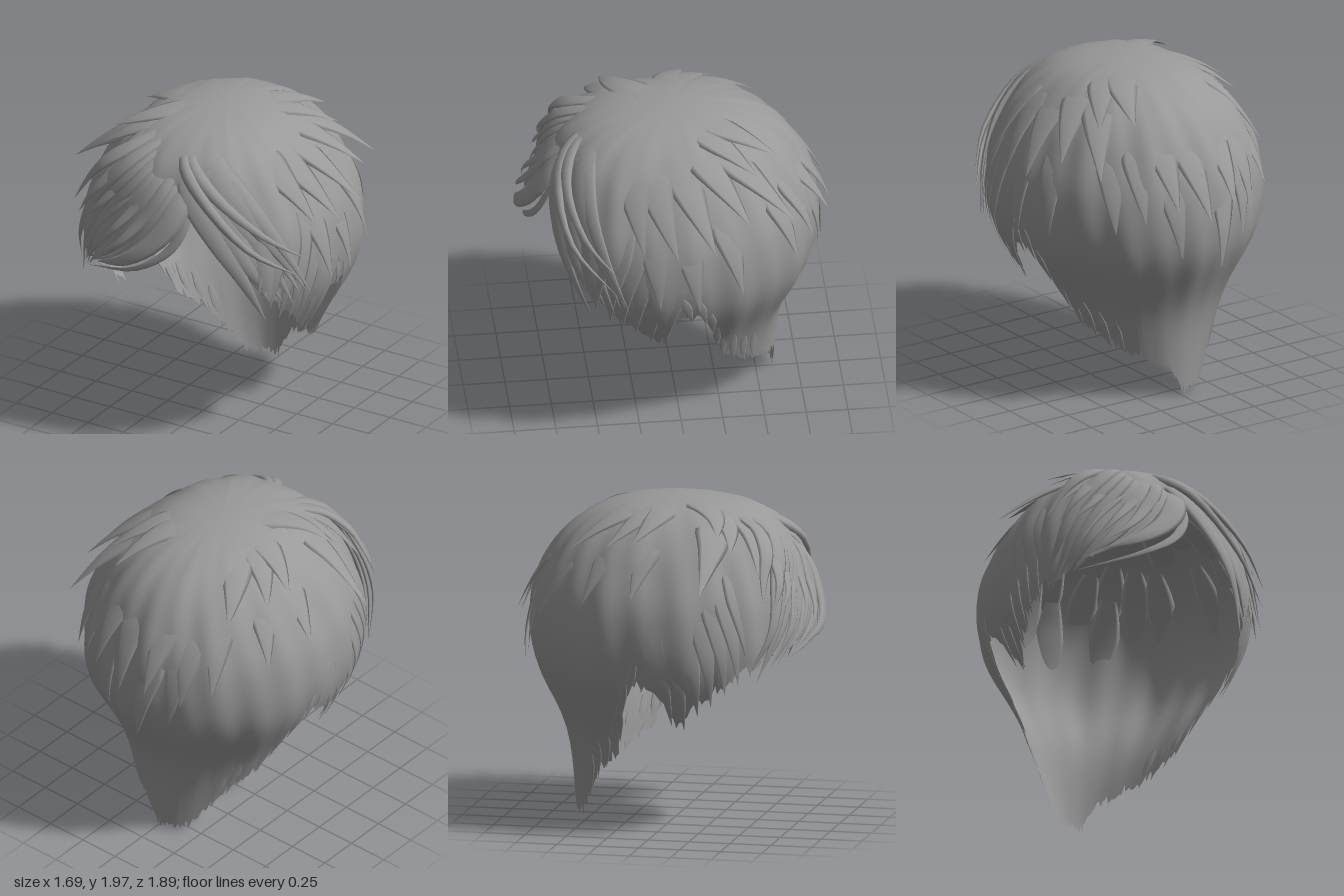
import * as THREE from 'three';
import { mergeGeometries } from 'three/addons/utils/BufferGeometryUtils.js';

const V = (x, y, z) => new THREE.Vector3(x, y, z);
const RAD = Math.PI / 180;
const lerp = THREE.MathUtils.lerp;

let seed = 7;
const rnd = () => (seed = (seed * 16807) % 2147483647) / 2147483647;

// Cap radii (side, front, back) at even steps of u, where y = 1.99 - u * u
const profile = new THREE.CatmullRomCurve3([
  V(0, 0, 0), V(.3, .38, .34), V(.505, .62, .59), V(.67, .74, .76),
  V(.785, .81, .86), V(.77, .79, .845), V(.55, .58, .655), V(.34, .36, .6),
], false, 'catmullrom');

// Height of the lower edge by angle: 0 is the front, 90 the left, 180 the back
const hem = [
  [-180, .05], [-150, .07], [-143, .13], [-135, .28], [-124, .4], [-112, .5], [-103, .82], [-97, .97],
  [-88, .92], [-80, .7], [-70, .84], [-55, 1.0], [-37, 1.12], [-20, 1.25], [0, 1.42], [12, 1.54], [20, 1.56],
  [30, 1.38], [45, 1.17], [58, .96], [70, .84], [80, .7], [88, .92], [97, .97], [103, .82], [112, .5],
  [130, .36], [150, .3], [165, .22], [174, .16], [180, .05],
];
function hemAt(deg) {
  const i = Math.max(1, hem.findIndex((h) => h[0] >= deg));
  const [a, b] = [hem[i - 1], hem[i]];
  return lerp(a[1], b[1], (deg - a[0]) / (b[0] - a[0]));
}

const toU = (y) => Math.sqrt(Math.max(0, 1.99 - y));

// Point on the head surface, pushed outward by off
function surf(deg, u, off = 0) {
  const r = profile.getPoint(Math.min(1, u / 1.4));
  const s = Math.sin(deg * RAD), c = Math.cos(deg * RAD);
  const e = c > 0 ? .87 : 1;
  const x = Math.sign(s) * Math.abs(s) ** e * r.x;
  const z = Math.sign(c) * Math.abs(c) ** e * (c > 0 ? r.y : r.z);
  const p = V(x, 1.99 - u * u, z);
  return p.addScaledVector(p.clone().sub(V(0, 1.1, 0)).normalize(), off);
}

function build(positions, index) {
  const g = new THREE.BufferGeometry();
  g.setAttribute('position', new THREE.Float32BufferAttribute(positions, 3));
  g.setIndex(index);
  g.computeVertexNormals();
  return g;
}

// Rippled shell with a ragged lower edge
function capGeometry(cols = 270, rows = 36) {
  const pos = [], idx = [];
  const teeth = Array.from({ length: cols }, () => .07 * (rnd() ** 2 - .4));
  for (let r = 0; r <= rows; r++) {
    for (let c = 0; c < cols; c++) {
      const deg = -180 + c * 360 / cols, k = r / rows;
      const u = toU(Math.max(.01, hemAt(deg) + teeth[c] * k ** 8)) * k;
      const a = deg * RAD, fade = Math.min(1, u * u * 2.5) * (u > 1 ? Math.max(.2, 1 - (u - 1) * 4) : 1);
      const ripple = fade * (.009 * Math.sin(11 * a + 5 * u) + .005 * Math.sin(23 * a - 6 * u));
      pos.push(...surf(deg, u, ripple).toArray());
      if (r < rows) {
        const d = (c + 1) % cols, p = r * cols, q = p + cols;
        idx.push(p + c, q + c, p + d, p + d, q + c, q + d);
      }
    }
  }
  return build(pos, idx);
}

// Flattened, pointed lock along a path
function lock(points, width, flat = .3, n = 16, m = 8) {
  const curve = new THREE.CatmullRomCurve3(points);
  const pos = [], idx = [];
  for (let i = 0; i <= n; i++) {
    const t = i / n, p = curve.getPoint(t), tan = curve.getTangent(t);
    const out = p.clone().sub(V(0, 1.1, 0));
    out.addScaledVector(tan, -out.dot(tan)).normalize();
    const side = tan.clone().cross(out);
    const w = width * (.45 + .75 * Math.min(1, t * 2.5)) * (1 - t ** 1.6) + .0005;
    for (let j = 0; j < m; j++) {
      const a = j / m * Math.PI * 2;
      pos.push(...p.clone().addScaledVector(side, w * Math.cos(a))
        .addScaledVector(out, w * flat * Math.sin(a)).toArray());
      if (i < n) {
        const k = (j + 1) % m, q = i * m;
        idx.push(q + j, q + m + j, q + k, q + k, q + m + j, q + m + k);
      }
    }
  }
  return build(pos, idx);
}

// Lock that grows out of the head and lifts off at its tip
function headLock(deg, y, flare, width, length, swirl, sink = .035) {
  const u1 = toU(y), pts = [];
  for (let i = 0; i <= 4; i++) {
    const t = i / 4;
    pts.push(surf(deg - swirl * (1 - t), Math.max(.06, u1 - length * (1 - t)), -sink * (1 - t) + flare * t ** 2.5));
  }
  return lock(pts, width, .14);
}

// Fan of locks blended between two paths
function fan(from, to, count, width) {
  return Array.from({ length: count }, (_, i) => {
    const k = i / (count - 1);
    const pts = from.map((p, j) => p.clone().lerp(to[j], k));
    pts[pts.length - 1].y += (rnd() - .5) * .12;
    pts[pts.length - 2].z += (rnd() - .5) * .05;
    return lock(pts, width * (.75 + .5 * rnd()));
  });
}

export function createModel() {
  const model = new THREE.Group();
  const hair = new THREE.MeshStandardMaterial({ color: 0x999999, side: THREE.DoubleSide });
  hair.name = 'hairGrey';
  const add = (name, geos) => {
    const mesh = new THREE.Mesh(mergeGeometries(geos), hair);
    mesh.name = name;
    model.add(mesh);
  };

  add('hairCap', [capGeometry()]);

  // Layered locks: angle, tip height, tip lift
  const crown = [
    [-134, 1.68, .05], [-113, 1.72, .05], [-100, 1.74, .06], [-72, 1.47, .15], [-56, 1.7, .07],
    [-62, 1.77, .08], [-42, 1.55, .06], [147, 1.76, .06], [129, 1.73, .06],
    [134, 1.47, .14], [116, 1.53, .1], [101, 1.42, .09], [88, 1.4, .06], [76, 1.43, .06],
  ];
  add('crownLocks', crown.map(([d, y, f]) => headLock(d, y, f, .12, .52, d < 0 ? -18 : 15)));

  const lower = [
    [-169, 1.27, .08], [179, 1.22, .08], [165, 1.3, .08], [-155, 1.2, .03], [152, 1.24, .04],
    [140, 1.18, .04], [-142, 1.3, .05], [-118, 1.42, .03], [-97, 1.46, .03],
    [-174, .93, .08], [168, 1.0, .03], [-160, 1.06, .03], [112, 1.12, .05], [95, 1.05, .05], [82, 1.08, .06],
  ];
  add('backLocks', lower.map(([d, y, f]) => headLock(d, y, f, .1, .4, d < 0 ? -6 : 6)));

  // Side locks in front of the ears, and wisps round the ears and neck
  const temples = [], wisps = [];
  for (const s of [-1, 1]) {
    for (let d = 46; d <= 84; d += 6) {
      temples.push(headLock(s * d, hemAt(s * d) - .02 - .06 * rnd(), .02, .08, .45, -s * 10, .025));
    }
    for (const d of [93, 99, 104, 109, 114, 121, 129, 137]) {
      wisps.push(headLock(s * d, hemAt(s * d) - .03, .01, .03, .1, s * 4, 0));
    }
  }
  add('templeLocks', temples);
  add('neckWisps', wisps);

  // Fringe swept to the right from the parting
  add('rightFringe', [
    ...fan(
      [V(.0, 1.92, .36), V(.14, 1.65, .73), V(.05, 1.43, .86), V(-.14, 1.27, .91), V(-.36, 1.16, .88)],
      [V(-.06, 1.95, .3), V(-.24, 1.8, .65), V(-.46, 1.54, .72), V(-.57, 1.28, .7), V(-.64, .98, .59)], 9, .07),
    ...fan(
      [V(-.01, 1.93, .34), V(.03, 1.71, .72), V(-.08, 1.5, .83), V(-.2, 1.35, .88), V(-.34, 1.22, .9)],
      [V(-.1, 1.97, .2), V(-.28, 1.85, .55), V(-.44, 1.73, .65), V(-.55, 1.6, .68), V(-.64, 1.48, .68)], 6, .06),
    lock([V(.05, 1.84, .54), V(.19, 1.58, .74), V(.13, 1.37, .83), V(-.08, 1.21, .88), V(-.48, 1.08, .76)], .035),
  ]);

  // Fringe swept to the left, with a raised curl at the parting
  add('leftFringe', [
    ...fan(
      [V(.03, 1.89, .42), V(.16, 1.73, .67), V(.36, 1.48, .72), V(.52, 1.22, .66), V(.62, .95, .54)],
      [V(.05, 1.94, .28), V(.27, 1.84, .52), V(.52, 1.63, .55), V(.7, 1.36, .45), V(.81, 1.08, .34)], 9, .085),
    lock([V(.05, 1.88, .4), V(.07, 1.84, .58), V(.26, 1.7, .71), V(.56, 1.4, .66), V(.79, 1.18, .42)], .045, .7),
    lock([V(.05, 1.9, .36), V(.12, 1.84, .58), V(.34, 1.7, .67), V(.62, 1.48, .59), V(.81, 1.3, .4)], .045, .6),
  ]);

  return model;
}
